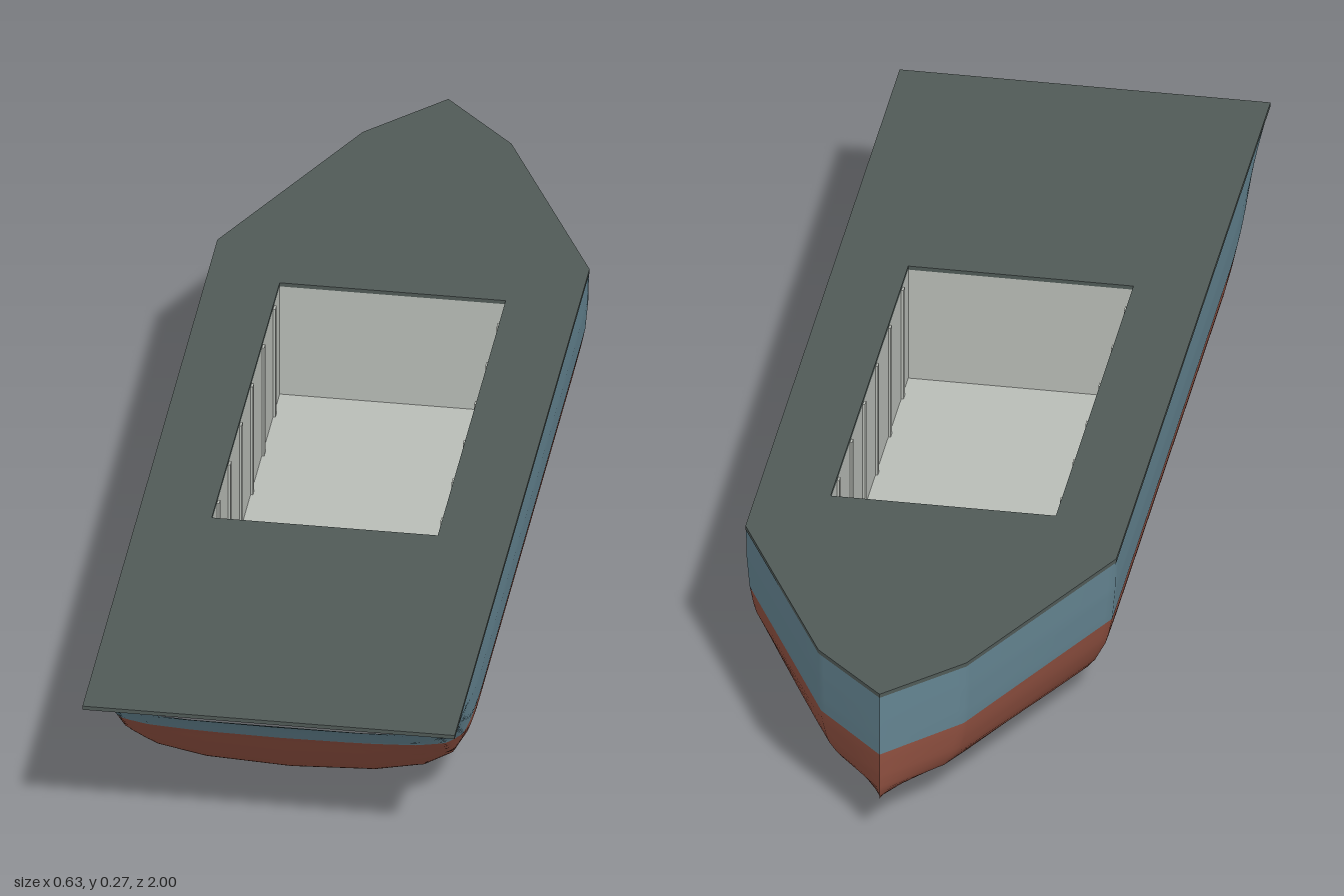
import * as THREE from 'three';

const TOP = 0.265, WATERLINE = 0.155, DECK = 0.007;

// Half cross-section: [half width, height fraction from keel to deck]
const SECTION = [[0, 0], [0.142, 0.03], [0.225, 0.105], [0.272, 0.225],
  [0.297, 0.41], [0.306, 0.58], [0.311, 0.8], [0.312, 1]];
const LAST = SECTION.length - 1;

// Plan of the pointed end: [z, width scale]
const PLAN = [[-1, 0], [-0.875, 0.4], [-0.5, 1], [1, 1]];

function lerpTable(table, v) {
  let i = 1;
  while (i < table.length - 1 && v > table[i][0]) i++;
  const [a, b] = [table[i - 1], table[i]];
  return THREE.MathUtils.mapLinear(v, a[0], b[0], a[1], b[1]);
}

// Stations along the hull, each with its z, keel height and width scale
function makeStations() {
  const list = [];
  for (const z of [-1, -0.94, -0.885, -0.875, -0.865, -0.8, -0.7, -0.6, -0.52,
    -0.5, -0.48, -0.4, -0.1, 0.2, 0.5]) {
    list.push([z, 0.07 * Math.pow(Math.max(0, (-0.4 - z) / 0.6), 1.5)]);
  }
  const rake = new THREE.SplineCurve([[0.64, 0], [0.71, 0.014], [0.77, 0.046], [0.82, 0.1],
    [0.862, WATERLINE], [0.905, 0.2], [0.96, 0.235], [1, 0.262]]
    .map(([z, y]) => new THREE.Vector2(z, y)));
  for (const p of rake.getPoints(140)) list.push([p.x, Math.max(0, p.y)]);
  return list.map(([z, keel]) => ({ z, keel, scale: lerpTable(PLAN, z) }));
}

// Section index at which a station crosses the waterline
function waterIndex({ keel }) {
  const t = Math.max(0, (WATERLINE - keel) / (TOP - keel));
  return lerpTable(SECTION.map(([, h], i) => [h, i]), t);
}

function sectionPoint({ z, keel, scale }, u) {
  const a = Math.abs(u), i = Math.min(Math.floor(a), LAST - 1), f = a - i;
  const w = THREE.MathUtils.lerp(SECTION[i][0], SECTION[i + 1][0], f);
  const h = THREE.MathUtils.lerp(SECTION[i][1], SECTION[i + 1][1], f);
  return [Math.sign(u) * w * scale, keel + (TOP - keel) * h, z];
}

// Lofts the strip of hull between two section indices
function loft(stations, range, cols) {
  const pos = [], index = [];
  stations.forEach((s, i) => {
    const [from, to] = range(s);
    for (let j = 0; j <= cols; j++) {
      pos.push(...sectionPoint(s, THREE.MathUtils.lerp(from, to, j / cols)));
      if (i && j) {
        const d = i * (cols + 1) + j, c = d - 1, b = d - cols - 1, a = b - 1;
        index.push(a, b, c, b, d, c);
      }
    }
  });
  const g = new THREE.BufferGeometry();
  g.setAttribute('position', new THREE.Float32BufferAttribute(pos, 3));
  g.setIndex(index);
  g.computeVertexNormals();
  return g;
}

export function createModel() {
  const model = new THREE.Group();
  const material = (name, color) => new THREE.MeshStandardMaterial({ name, color });
  const topside = material('blue grey topside', 0x648491);
  const bottom = material('red brown bottom', 0x8f5040);
  const deckGrey = material('dark deck grey', 0x505a57);
  const inner = material('pale cockpit grey', 0xb8bcb6);
  const add = (name, geometry, mat, parent = model) => {
    const mesh = new THREE.Mesh(geometry, mat);
    mesh.name = name;
    parent.add(mesh);
    return mesh;
  };

  // Hull
  const stations = makeStations();
  const wet = stations.filter(s => s.keel <= WATERLINE + 1e-4);
  add('hullBottom', loft(wet, s => [-waterIndex(s), waterIndex(s)], 28), bottom);
  add('rightTopside', loft(stations, s => [-LAST, -waterIndex(s)], 14), topside);
  add('leftTopside', loft(stations, s => [waterIndex(s), LAST], 14), topside);

  // Deck plate with cockpit opening
  const halfW = 0.19, z0 = -0.38, z1 = 0.375;
  const v = (x, z) => new THREE.Vector2(x, -z);
  const outline = new THREE.Shape([v(-0.313, 1), v(0.313, 1), v(0.313, -0.5),
    v(0.125, -0.875), v(0, -1), v(-0.125, -0.875), v(-0.313, -0.5)]);
  outline.holes.push(new THREE.Path([v(-halfW, z0), v(halfW, z0), v(halfW, z1), v(-halfW, z1)]));
  const deck = add('deck', new THREE.ExtrudeGeometry(outline,
    { depth: DECK, bevelEnabled: false }).rotateX(-Math.PI / 2), deckGrey);
  deck.position.y = TOP;

  // Cockpit well
  const well = new THREE.Group();
  well.name = 'cockpit';
  model.add(well);
  const floorY = 0.055, wall = 0.008, depth = TOP - floorY;
  const length = z1 - z0, midZ = (z0 + z1) / 2, midY = floorY + depth / 2;
  const box = (name, w, h, d, x, y, z) =>
    add(name, new THREE.BoxGeometry(w, h, d), inner, well).position.set(x, y, z);
  box('cockpitFloor', halfW * 2, wall, length, 0, floorY - wall / 2, midZ);
  box('cockpitFrontWall', halfW * 2, depth, wall, 0, midY, z1 + wall / 2);
  box('cockpitBackWall', halfW * 2, depth, wall, 0, midY, z0 - wall / 2);
  for (const side of [-1, 1]) {
    box('cockpitSideWall', wall, depth, length, side * (halfW + wall / 2), midY, midZ);
    // Wall ribs
    for (let i = 0; i < 6; i++) {
      box('cockpitRib', 0.004, depth, 0.012, side * (halfW - 0.002), midY, -0.3125 + i * 0.125);
    }
  }
  return model;
}
